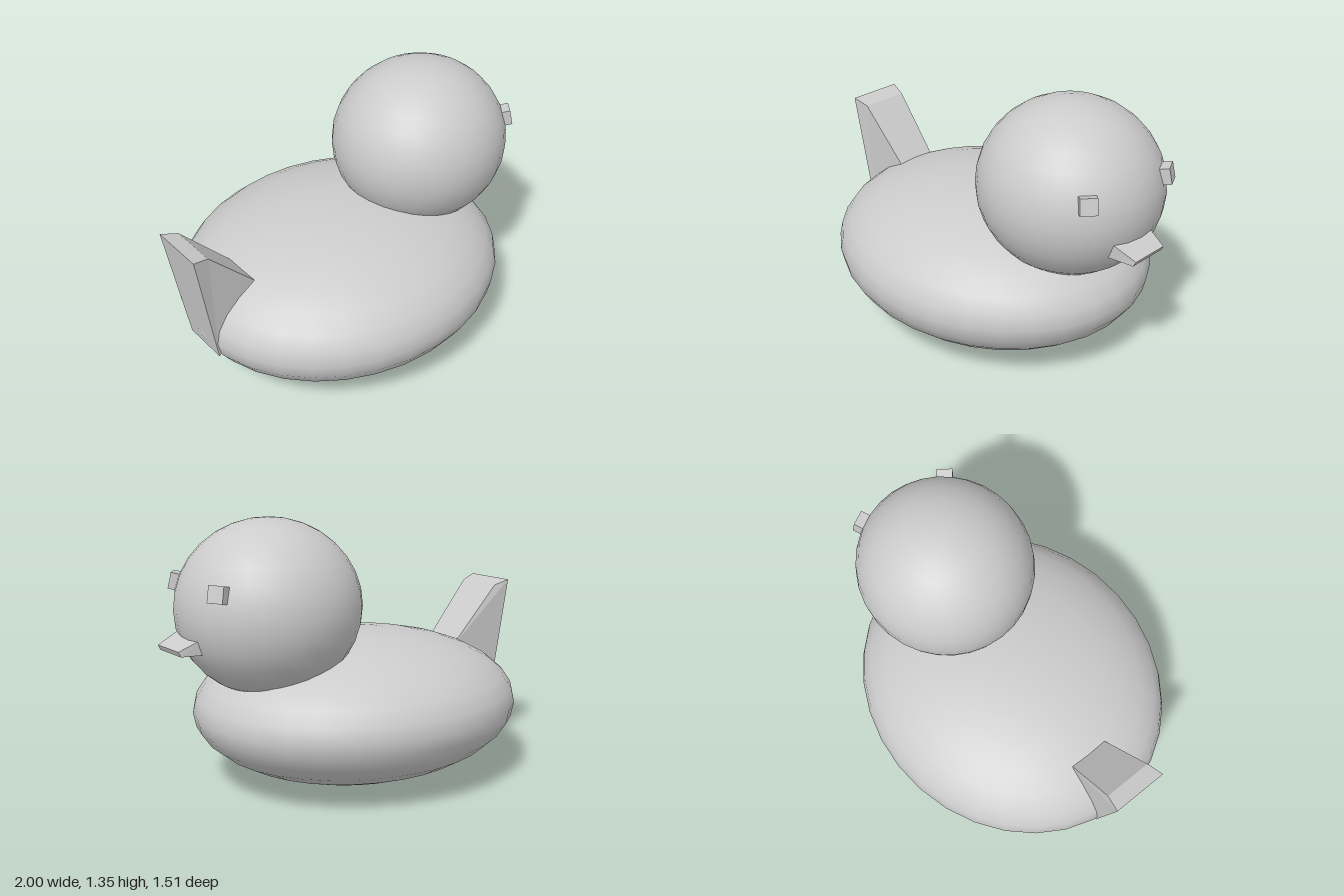
import * as THREE from 'three';

const material = new THREE.MeshStandardMaterial({ color: 0xcccccc });

function add(group, name, geometry) {
  const mesh = new THREE.Mesh(geometry, material);
  mesh.name = name;
  group.add(mesh);
  return mesh;
}

// Smooth ellipsoid: centre and radii
function ellipsoid(group, name, centre, radii) {
  const geometry = new THREE.SphereGeometry(1, 32, 16);
  geometry.scale(...radii);
  add(group, name, geometry).position.set(...centre);
}

// Six-sided block; each profile corner is [x, y, half width]
function taperedBlock({ backTop, frontTop, frontBottom, backBottom }, zCentre = 0) {
  const geometry = new THREE.BoxGeometry(1, 1, 1);
  const p = geometry.attributes.position;
  for (let i = 0; i < p.count; i++) {
    const front = p.getX(i) > 0;
    const top = p.getY(i) > 0;
    const [x, y, w] = front ? (top ? frontTop : frontBottom) : (top ? backTop : backBottom);
    p.setXYZ(i, x, y, zCentre + Math.sign(p.getZ(i)) * w);
  }
  const flat = geometry.toNonIndexed();
  flat.computeVertexNormals();
  return flat;
}

export function createModel() {
  const group = new THREE.Group();
  group.name = 'duck';

  // Flattened body and round head
  const headCentre = [0.475, 0.93, 0];
  ellipsoid(group, 'body', [-0.055, 0.38, 0], [0.865, 0.373, 0.755]);
  ellipsoid(group, 'head', headCentre, [0.456, 0.427, 0.443]);

  // Upright tail, rooted inside the body
  add(group, 'tail', taperedBlock({
    backTop: [-1, 0.935, 0.14],
    frontTop: [-0.915, 0.91, 0.122],
    frontBottom: [-0.6, 0.57, 0.1],
    backBottom: [-0.903, 0.3, 0.12],
  }));

  // Short bill, set slightly to the left of the centre line
  add(group, 'bill', taperedBlock({
    backTop: [0.86, 0.845, 0.125],
    frontTop: [0.997, 0.787, 0.097],
    frontBottom: [0.985, 0.762, 0.1],
    backBottom: [0.84, 0.76, 0.125],
  }, 0.04));

  // Square eyes facing outward from the head
  for (const [name, x, z] of [['eyeLeft', 0.823, 0.272], ['eyeRight', 0.873, -0.21]]) {
    const eye = add(group, name, new THREE.BoxGeometry(0.08, 0.08, 0.048));
    eye.position.set(x, 1.055, z);
    eye.lookAt(2 * x - headCentre[0], 1.055 + 0.1, 2 * z);
  }
  return group;
}
